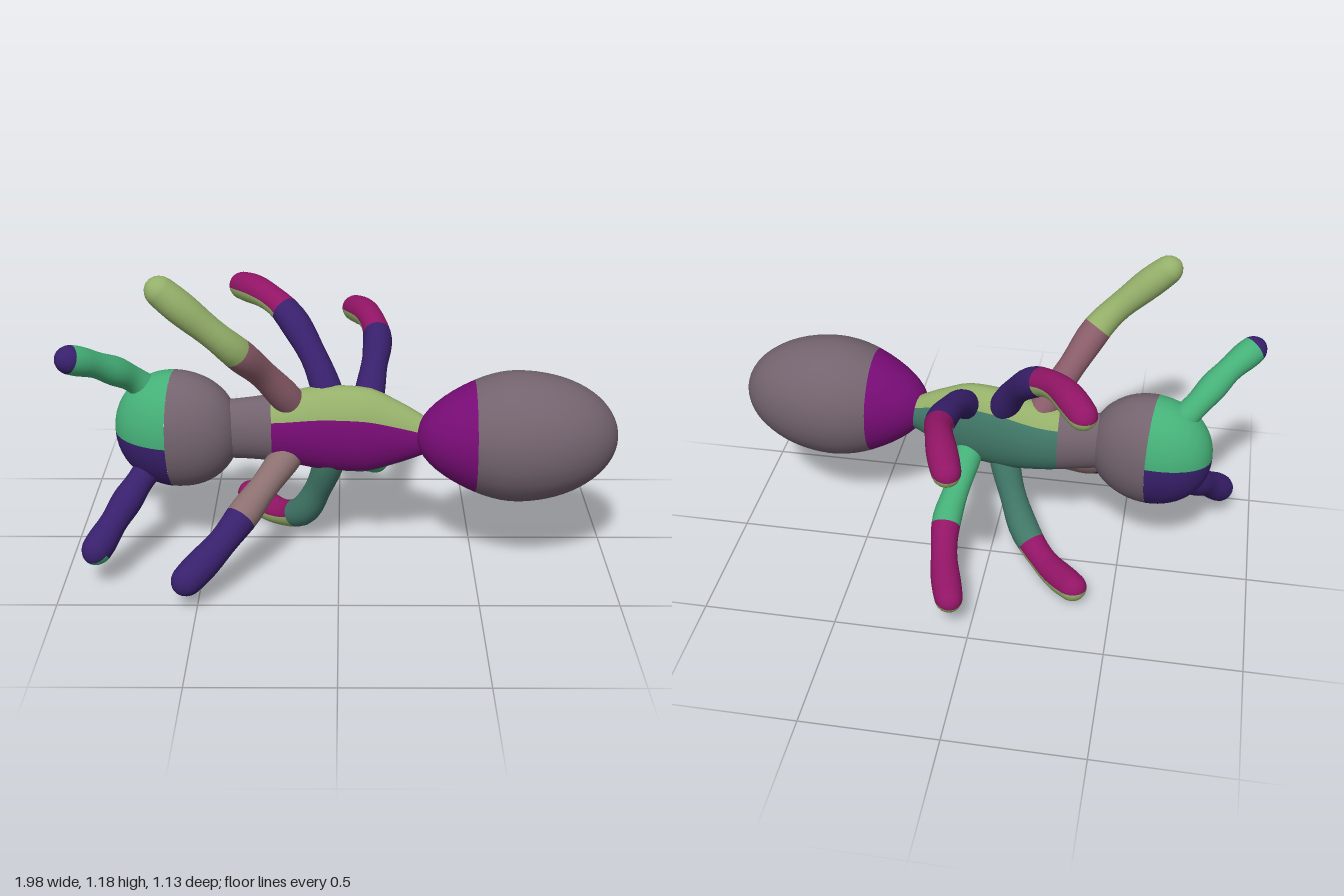
import * as THREE from 'three';

const C = {
  mauve: 0x73636e, slate: 0x5a6172, purple: 0x780c76, lime: 0x95b06a, green: 0x45b078,
  teal: 0x417868, indigo: 0x38206c, magenta: 0x921566, rose: 0x8a5c6a, tan: 0x8c7070,
};
const PI = Math.PI;
const v = (p) => new THREE.Vector3(...p);

// Point on a swept ellipse: t runs along the spine, a around it (0 is up)
function sweepPoint(spine, radii, t, a) {
  const c = spine.getPointAt(t), T = spine.getTangentAt(t);
  const up = new THREE.Vector3(0, 1, 0).addScaledVector(T, -T.y).normalize();
  const side = T.clone().cross(up);
  const [ry, rz] = radii(t);
  return c.addScaledVector(up, Math.cos(a) * ry).addScaledVector(side, Math.sin(a) * rz);
}

// One coloured patch of a swept body, with normals that stay smooth across patches
function patch(name, color, spine, radii, t0 = 0, t1 = 1, a0 = 0, a1 = 2 * PI) {
  const nt = Math.max(6, Math.ceil(30 * (t1 - t0)));
  const na = Math.max(6, Math.ceil(28 * (a1 - a0) / (2 * PI)));
  const ease = (t) => (1 - Math.cos(PI * t)) / 2;
  const s0 = Math.acos(1 - 2 * t0) / PI, s1 = Math.acos(1 - 2 * t1) / PI;
  const pos = [], nor = [], idx = [], e = 0.001;
  for (let i = 0; i <= nt; i++) {
    const t = ease(s0 + (s1 - s0) * i / nt);
    const tn = THREE.MathUtils.clamp(t, 2 * e, 1 - 2 * e);
    for (let j = 0; j <= na; j++) {
      const a = a0 + (a1 - a0) * j / na;
      pos.push(...sweepPoint(spine, radii, t, a).toArray());
      const dt = sweepPoint(spine, radii, tn + e, a).sub(sweepPoint(spine, radii, tn - e, a));
      const da = sweepPoint(spine, radii, tn, a + 0.01).sub(sweepPoint(spine, radii, tn, a - 0.01));
      nor.push(...da.cross(dt).normalize().toArray());
      if (i < nt && j < na) {
        const k = i * (na + 1) + j, m = k + na + 1;
        idx.push(k, k + 1, m, k + 1, m + 1, m);
      }
    }
  }
  const g = new THREE.BufferGeometry();
  g.setAttribute('position', new THREE.Float32BufferAttribute(pos, 3));
  g.setAttribute('normal', new THREE.Float32BufferAttribute(nor, 3));
  g.setIndex(idx);
  const mesh = new THREE.Mesh(g, new THREE.MeshStandardMaterial({ color }));
  mesh.name = name;
  return mesh;
}

// Limb: rounded tube through points; the outer part has its own top and underside colours
function limb(name, points, r, split, inner, outerTop, outerLow = outerTop) {
  const spine = new THREE.CatmullRomCurve3(points.map(v));
  const len = spine.getLength();
  const radii = (t) => {
    const d = Math.min(1, (1 - t) * len / r);
    const k = r * (1 + 0.06 * Math.sin(t * 17)) * Math.sqrt(Math.max(0, 1 - (1 - d) ** 2));
    return [k, k];
  };
  const g = new THREE.Group();
  g.name = name;
  g.add(
    patch('upperSegment', inner, spine, radii, 0, split),
    patch('lowerSegmentTop', outerTop, spine, radii, split, 1, -PI / 2, PI / 2),
    patch('lowerSegmentUnderside', outerLow, spine, radii, split, 1, PI / 2, 1.5 * PI),
  );
  return g;
}

function group(name, ...parts) {
  const g = new THREE.Group();
  g.name = name;
  return g.add(...parts);
}

export function createModel() {
  const model = new THREE.Group();
  model.name = 'ant';
  const ball = (t) => 2 * Math.sqrt(Math.max(0, t * (1 - t)));

  // Head, split into a plain rear and a two-coloured face
  const headSpine = new THREE.LineCurve3(v([-0.82, 0.51, 0.06]), v([-0.365, 0.51, 0.125]));
  const headR = (t) => [0.225 * ball(t) ** 0.92, 0.158 * ball(t) ** 0.92];
  model.add(group('head',
    patch('headRear', C.mauve, headSpine, headR, 0.48, 1),
    patch('faceUpper', C.green, headSpine, headR, 0, 0.48, -1.5, 1.65),
    patch('faceLower', C.indigo, headSpine, headR, 0, 0.48, 1.65, 2 * PI - 1.5)));

  // Thorax, tapering to the waist
  const thoraxSpine = new THREE.CatmullRomCurve3(
    [[-0.45, 0.515, 0.11], [-0.2, 0.515, 0.095], [0.05, 0.525, 0.13], [0.36, 0.515, 0.18]].map(v));
  const profile = new THREE.CatmullRomCurve3([
    [0.11, 0.07, 0], [0.12, 0.083, 0], [0.14, 0.095, 0], [0.165, 0.097, 0],
    [0.165, 0.09, 0], [0.115, 0.068, 0], [0.045, 0.045, 0]].map(v));
  const thoraxR = (t) => { const p = profile.getPoint(t); return [p.x, p.y]; };
  model.add(group('thorax',
    patch('thoraxNeck', C.mauve, thoraxSpine, thoraxR, 0, 0.25),
    patch('thoraxTop', C.lime, thoraxSpine, thoraxR, 0.25, 1, -0.9, 1.15),
    patch('thoraxFront', C.purple, thoraxSpine, thoraxR, 0.25, 1, 1.15, 2.7),
    patch('thoraxBack', C.teal, thoraxSpine, thoraxR, 0.25, 1, 2.7, 2 * PI - 0.9)));

  // Abdomen, egg shaped
  const abSpine = new THREE.LineCurve3(v([0.28, 0.53, 0.205]), v([1, 0.54, 0.215]));
  const abR = (t) => {
    const k = ball(t) * (0.85 + 0.15 * THREE.MathUtils.smoothstep(t, 0, 0.5));
    return [0.24 * k, 0.217 * k];
  };
  model.add(group('abdomen',
    patch('abdomenFront', C.purple, abSpine, abR, 0, 0.29),
    patch('abdomenRear', C.mauve, abSpine, abR, 0.29, 1)));

  // Antennae
  model.add(
    limb('upperAntenna', [[-0.66, 0.62, 0.07], [-0.74, 0.71, 0.11], [-0.85, 0.81, 0.22], [-0.965, 0.88, 0.325]],
      0.05, 0.9, C.green, C.indigo),
    limb('lowerAntenna', [[-0.66, 0.41, 0.08], [-0.74, 0.32, 0.18], [-0.82, 0.22, 0.3], [-0.895, 0.12, 0.405]],
      0.053, 0.9, C.indigo, C.indigo, C.green));

  // Front legs
  model.add(
    limb('frontLegUpper', [[-0.16, 0.6, 0.1], [-0.27, 0.77, 0.2], [-0.37, 0.91, 0.31], [-0.5, 1.04, 0.345], [-0.635, 1.165, 0.355]],
      0.054, 0.5, C.rose, C.lime),
    limb('frontLegLower', [[-0.16, 0.45, 0.1], [-0.29, 0.32, 0.25], [-0.42, 0.2, 0.41], [-0.57, 0.085, 0.545]],
      0.056, 0.5, C.tan, C.indigo));

  // Middle legs
  model.add(
    limb('middleLegUpper', [[-0.02, 0.6, 0.11], [-0.09, 0.76, 0.02], [-0.19, 0.89, -0.1], [-0.28, 0.93, -0.2], [-0.4, 0.915, -0.37]],
      0.053, 0.56, C.indigo, C.magenta, C.lime),
    limb('middleLegLower', [[-0.02, 0.44, 0.13], [-0.07, 0.27, 0.07], [-0.14, 0.12, 0], [-0.24, 0.062, -0.11], [-0.39, 0.08, -0.275]],
      0.054, 0.55, C.teal, C.magenta, C.lime));

  // Hind legs
  model.add(
    limb('hindLegUpper', [[0.1, 0.6, 0.13], [0.125, 0.69, 0], [0.145, 0.755, -0.22], [0.115, 0.785, -0.36], [0.045, 0.755, -0.56]],
      0.052, 0.54, C.indigo, C.magenta, C.lime),
    limb('hindLegLower', [[0.09, 0.45, 0.12], [0.12, 0.34, -0.01], [0.14, 0.26, -0.17], [0.12, 0.19, -0.31], [0.06, 0.135, -0.505]],
      0.052, 0.5, C.green, C.magenta, C.lime));

  return model;
}
